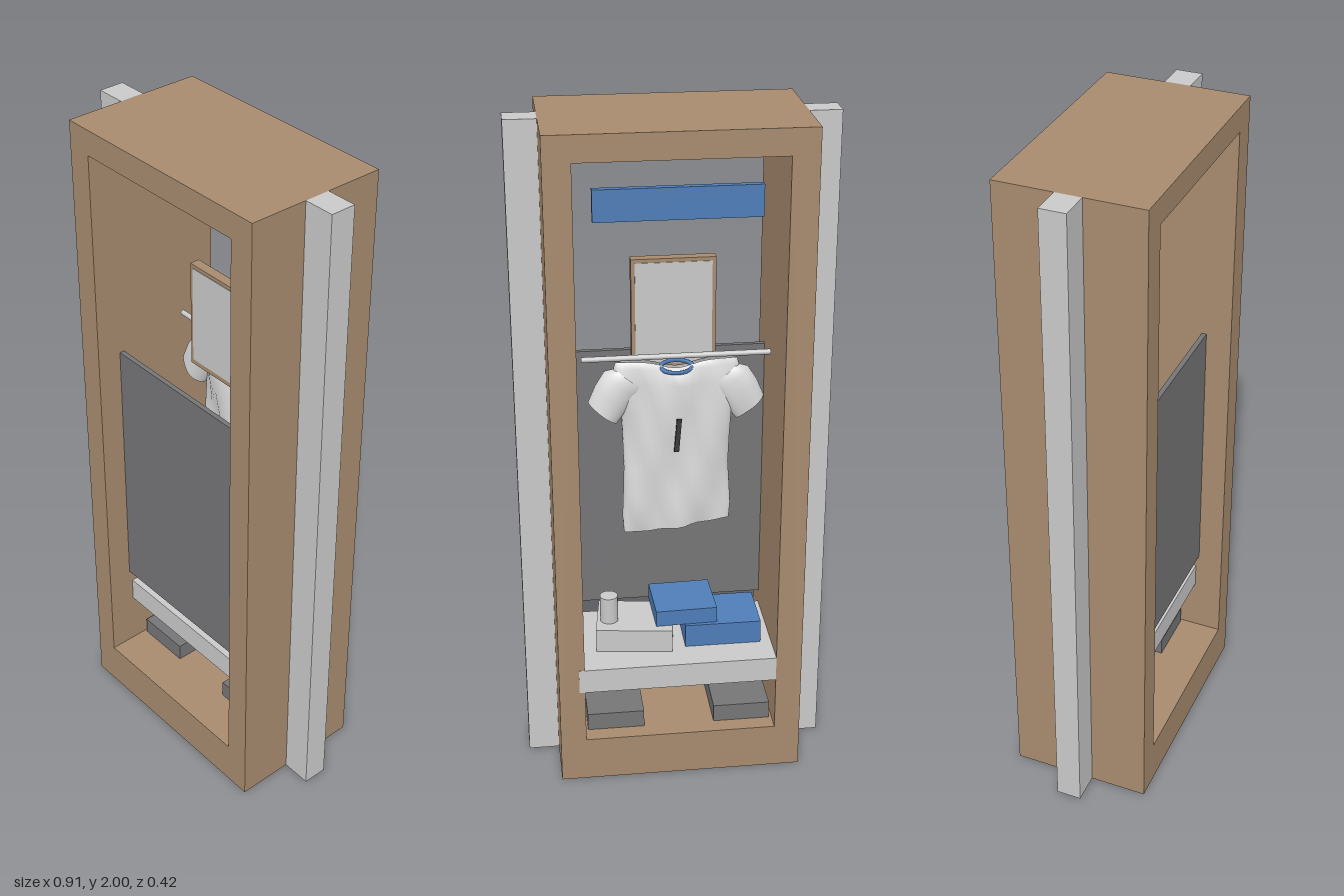
import * as THREE from 'three';

const mat = (name, color, side = THREE.FrontSide) => {
  const m = new THREE.MeshStandardMaterial({ color, side });
  m.name = name;
  return m;
};

// Joins equal-length rings of points into one smooth closed-around surface
function loft(rings) {
  const n = rings[0].length, pos = [], idx = [];
  rings.forEach(r => r.forEach(p => pos.push(p.x, p.y, p.z)));
  for (let i = 0; i < rings.length - 1; i++) {
    for (let j = 0; j < n; j++) {
      const a = i * n + j, b = i * n + (j + 1) % n;
      idx.push(a, b, a + n, b, b + n, a + n);
    }
  }
  const g = new THREE.BufferGeometry();
  g.setAttribute('position', new THREE.Float32BufferAttribute(pos, 3));
  g.setIndex(idx);
  g.computeVertexNormals();
  return g;
}

export function createModel() {
  const root = new THREE.Group();
  const wood = mat('wood', 0xa78b6e);
  const grey = mat('light grey', 0xc9c9c9);
  const dark = mat('dark grey', 0x757577);
  const blue = mat('blue', 0x4f7db8);
  const cloth = mat('white cloth', 0xdadada, THREE.DoubleSide);
  const black = mat('charcoal', 0x3a3a3c);

  const add = (name, geometry, material, parent = root) => {
    const m = new THREE.Mesh(geometry, material);
    m.name = name;
    parent.add(m);
    return m;
  };
  // Box given by its limits on each axis
  const box = (name, material, [x0, x1], [y0, y1], [z0, z1], turn = 0, parent = root) => {
    const m = add(name, new THREE.BoxGeometry(x1 - x0, y1 - y0, z1 - z0), material, parent);
    m.position.set((x0 + x1) / 2, (y0 + y1) / 2, (z0 + z1) / 2);
    m.rotation.y = turn;
    return m;
  };
  const rect = (C, x, y0, y1) => new C([[-x, y0], [x, y0], [x, y1], [-x, y1]]
    .map(p => new THREE.Vector2(...p)));

  // Outer case, open at front and back
  const caseShape = rect(THREE.Shape, 0.365, 0, 2);
  caseShape.holes.push(rect(THREE.Path, 0.288, 0.14, 1.925));
  const caseGeo = new THREE.ExtrudeGeometry(caseShape, { depth: 0.423, bevelEnabled: false });
  caseGeo.translate(0, 0, -0.2115);
  add('case', caseGeo, wood);

  // Side posts
  for (const s of [-1, 1]) {
    box(s > 0 ? 'leftPost' : 'rightPost', grey,
      s > 0 ? [0.365, 0.457] : [-0.457, -0.365], [0, 2], [-0.038, 0.038]);
  }

  // Front panel, header board and shelf
  box('frontPanel', dark, [-0.288, 0.288], [0.43, 1.27], [0.12, 0.135]);
  box('headerBoard', blue, [-0.232, 0.232], [1.74, 1.83], [-0.135, -0.115]);
  box('shelf', grey, [-0.288, 0.305], [0.31, 0.387], [-0.2125, 0.125]);

  // Framed mirror, glazed on both faces
  const mirror = new THREE.Group();
  mirror.name = 'mirror';
  root.add(mirror);
  box('mirrorFrame', wood, [-0.12, 0.12], [1.267, 1.595], [-0.025, 0.005], 0, mirror);
  for (const z of [-0.027, 0.005]) {
    box('mirrorGlass', grey, [-0.109, 0.109], [1.283, 1.584], [z, z + 0.002], 0, mirror);
  }

  // Clothes rail
  const rail = add('rail', new THREE.CylinderGeometry(0.008, 0.008, 0.535, 12), grey);
  rail.rotation.z = Math.PI / 2;
  rail.position.set(0, 1.328, -0.085);

  // Hanging shirt with soft folds
  const shirt = new THREE.Group();
  shirt.name = 'shirt';
  shirt.position.z = -0.085;
  root.add(shirt);
  const fold = (x, y) => 0.006 * Math.sin(38 * x + 14 * y) + 0.004 * Math.sin(70 * x - 25 * y);
  const N = 48;
  const ringOf = f => Array.from({ length: N }, (_, j) => f(j / N * Math.PI * 2));
  // Height, half width, half depth
  const rows = [
    [1.318, 0.172, 0.010], [1.30, 0.178, 0.024], [1.25, 0.170, 0.032], [1.17, 0.158, 0.035],
    [1.08, 0.154, 0.034], [0.99, 0.152, 0.033], [0.91, 0.155, 0.034], [0.85, 0.158, 0.035], [0.80, 0.155, 0.030],
  ];
  add('shirtBody', loft(rows.map(([y, w, d], i) => ringOf(a => {
    const x = w * Math.cos(a);
    const neck = i < 2 ? 0.022 * Math.exp(-((x / 0.06) ** 2)) / (i + 1) : 0;
    const hem = i > 5 ? 0.015 * Math.sin(9 * x) : 0;
    const z = d * Math.sign(Math.sin(a)) * Math.abs(Math.sin(a)) ** 0.7;
    return new THREE.Vector3(x, y - neck - hem, z + fold(x, y) * Math.min(1, i / 2));
  }))), cloth, shirt);

  // Sleeves droop outward from the shoulders
  const sleeveRows = [[0.125, 1.262, 0.058, 0.026], [0.155, 1.25, 0.062, 0.032],
    [0.185, 1.21, 0.058, 0.034], [0.21, 1.165, 0.052, 0.032]];
  for (const s of [-1, 1]) {
    add(s > 0 ? 'leftSleeve' : 'rightSleeve', loft(sleeveRows.map(([cx, cy, w, d]) => ringOf(a => {
      const x = cx + 0.78 * w * Math.cos(a), y = cy + 0.63 * w * Math.cos(a);
      return new THREE.Vector3(s * x, y, d * Math.sin(a) + 0.5 * fold(s * x, y));
    }))), cloth, shirt);
  }

  // Blue collar and a plain dark stripe
  const collar = add('collar', new THREE.TorusGeometry(0.045, 0.007, 8, 32), blue, shirt);
  collar.scale.set(1, 0.6, 1);
  collar.rotation.x = Math.PI / 2 - 0.35;
  collar.position.set(0, 1.298, -0.006);
  const stripe = box('stripe', black, [-0.007, 0.007], [1.05, 1.15], [-0.044, -0.036], 0, shirt);
  stripe.rotation.z = 0.08;

  // Boxes and can on the shelf
  box('greyBox', grey, [0.005, 0.235], [0.387, 0.46], [-0.125, 0.05], -0.13);
  box('lowerBlueBox', blue, [-0.255, -0.025], [0.387, 0.46], [-0.115, 0.06]);
  box('upperBlueBox', blue, [-0.12, 0.065], [0.46, 0.51], [-0.105, 0.065], 0.03);
  const can = add('can', new THREE.CylinderGeometry(0.027, 0.027, 0.085, 24), grey);
  can.position.set(0.2, 0.502, -0.05);

  // Low blocks on the floor
  for (const s of [-1, 1]) {
    box(s > 0 ? 'leftFloorBlock' : 'rightFloorBlock', dark,
      s > 0 ? [0.107, 0.279] : [-0.279, -0.107], [0.14, 0.195], [-0.16, 0.08]);
  }
  return root;
}
